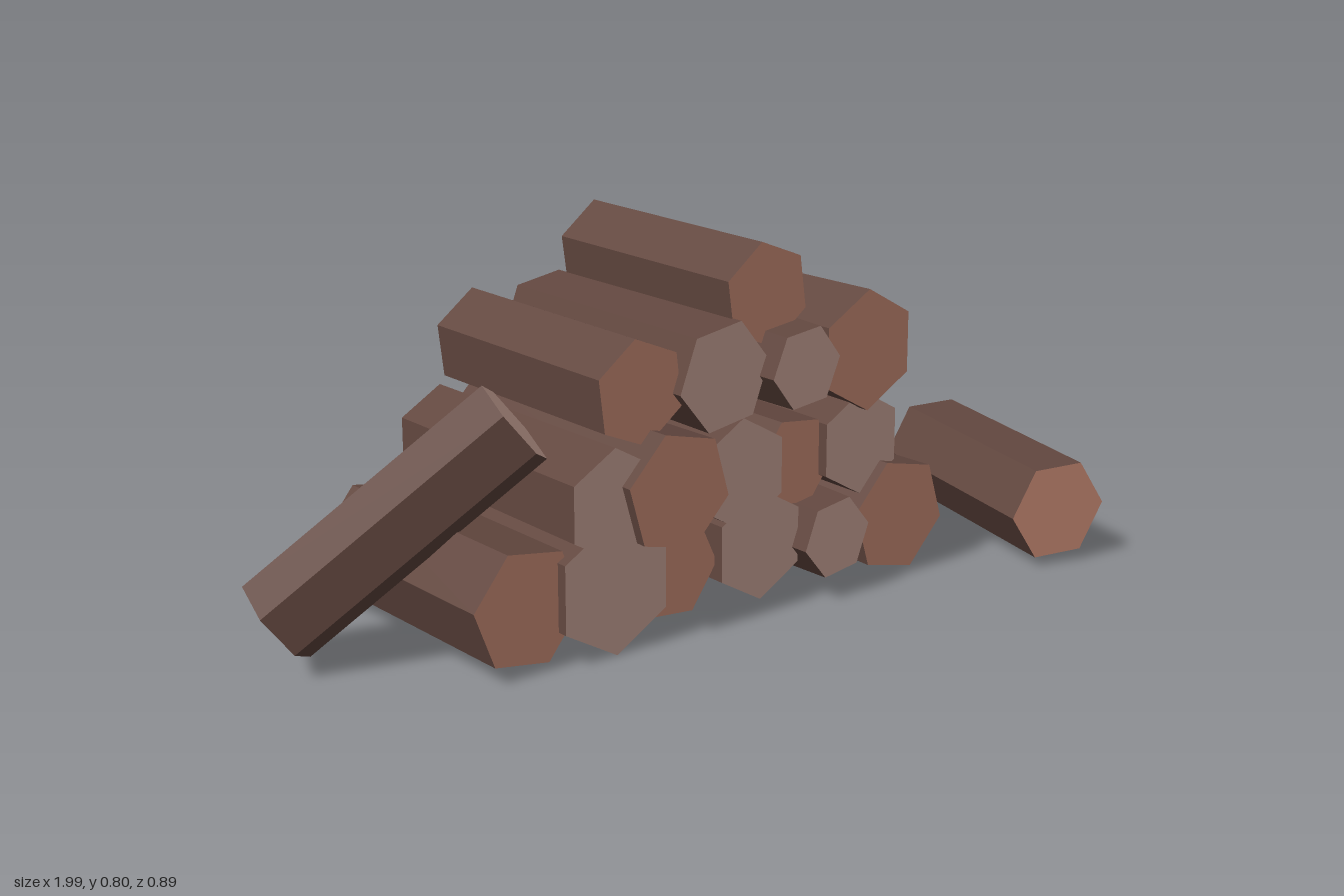
import * as THREE from 'three';

export function createModel() {
  const model = new THREE.Group();
  model.name = 'woodpile';

  const material = (name, color) => {
    const m = new THREE.MeshStandardMaterial({ color });
    m.name = name;
    return m;
  };
  const bark = material('bark', 0x62473f);
  const warm = material('warm cut wood', 0xcc8d77);
  const pale = material('pale cut wood', 0xcda699);

  // Six-sided log from a back point to a front point; turn is the angle of one corner in degrees
  function addLog(name, wood, front, back, rFront, rBack, turn) {
    const a = new THREE.Vector3(...front);
    const b = new THREE.Vector3(...back);
    let geo = new THREE.CylinderGeometry(rFront, rBack, a.distanceTo(b), 6);
    geo.rotateX(Math.PI / 2);
    geo.rotateZ(THREE.MathUtils.degToRad(turn - 90));
    geo = geo.toNonIndexed();
    geo.computeVertexNormals();
    const log = new THREE.Mesh(geo, [bark, wood, wood]);
    log.name = name;
    log.position.copy(a).add(b).multiplyScalar(0.5);
    log.lookAt(a);
    model.add(log);
  }

  // Kinds of log: cut colour, front z, back z, back radius relative to front
  const kinds = {
    thick: [warm, 0.24, -0.43, 0.9],
    plain: [warm, 0.19, -0.38, 1],
    light: [pale, 0.215, -0.41, 0.96],
    thin: [pale, 0.26, -0.45, 1.16],
  };

  // Stacked rows: kind, x, y, radius, turn
  const rows = {
    bottomRow: [
      ['plain', -0.56, 0.144, 0.133, 51],
      ['light', -0.36, 0.151, 0.148, 90],
      ['plain', -0.19, 0.144, 0.115, -5],
      ['light', 0.025, 0.155, 0.123, 90],
      ['thin', 0.205, 0.143, 0.091, 9],
      ['thick', 0.408, 0.145, 0.133, 47],
    ],
    secondRow: [
      ['light', -0.36, 0.325, 0.12, 90],
      ['thick', -0.215, 0.328, 0.133, 46],
      ['light', -0.024, 0.32, 0.123, 90],
      ['plain', 0.145, 0.307, 0.105, -7],
      ['light', 0.312, 0.325, 0.117, 90],
    ],
    thirdRow: [
      ['plain', -0.275, 0.537, 0.115, 37],
      ['light', -0.075, 0.54, 0.12, 69],
      ['thin', 0.11, 0.537, 0.092, 7],
      ['thick', 0.305, 0.538, 0.134, 90],
    ],
    topRow: [['plain', 0.06, 0.688, 0.115, 38]],
  };
  for (const [row, logs] of Object.entries(rows)) {
    logs.forEach(([kind, x, y, r, turn], i) => {
      const [wood, zFront, zBack, taper] = kinds[kind];
      // Thin logs lean slightly towards +x at the back
      const lean = kind === 'thin' ? 0.012 : 0;
      addLog(`${row}Log${i + 1}`, wood, [x, y, zFront], [x + lean, y, zBack], r, r * taper, turn);
    });
  }

  // Loose logs: one leaning on the pile, one lying on the ground
  addLog('leaningLog', pale, [-0.495, 0.488, 0.062], [-0.922, 0.098, -0.172], 0.102, 0.102, 90);
  addLog('fallenLog', warm, [0.738, 0.129, 0.411], [0.88, 0.129, -0.132], 0.118, 0.118, 2);

  return model;
}
